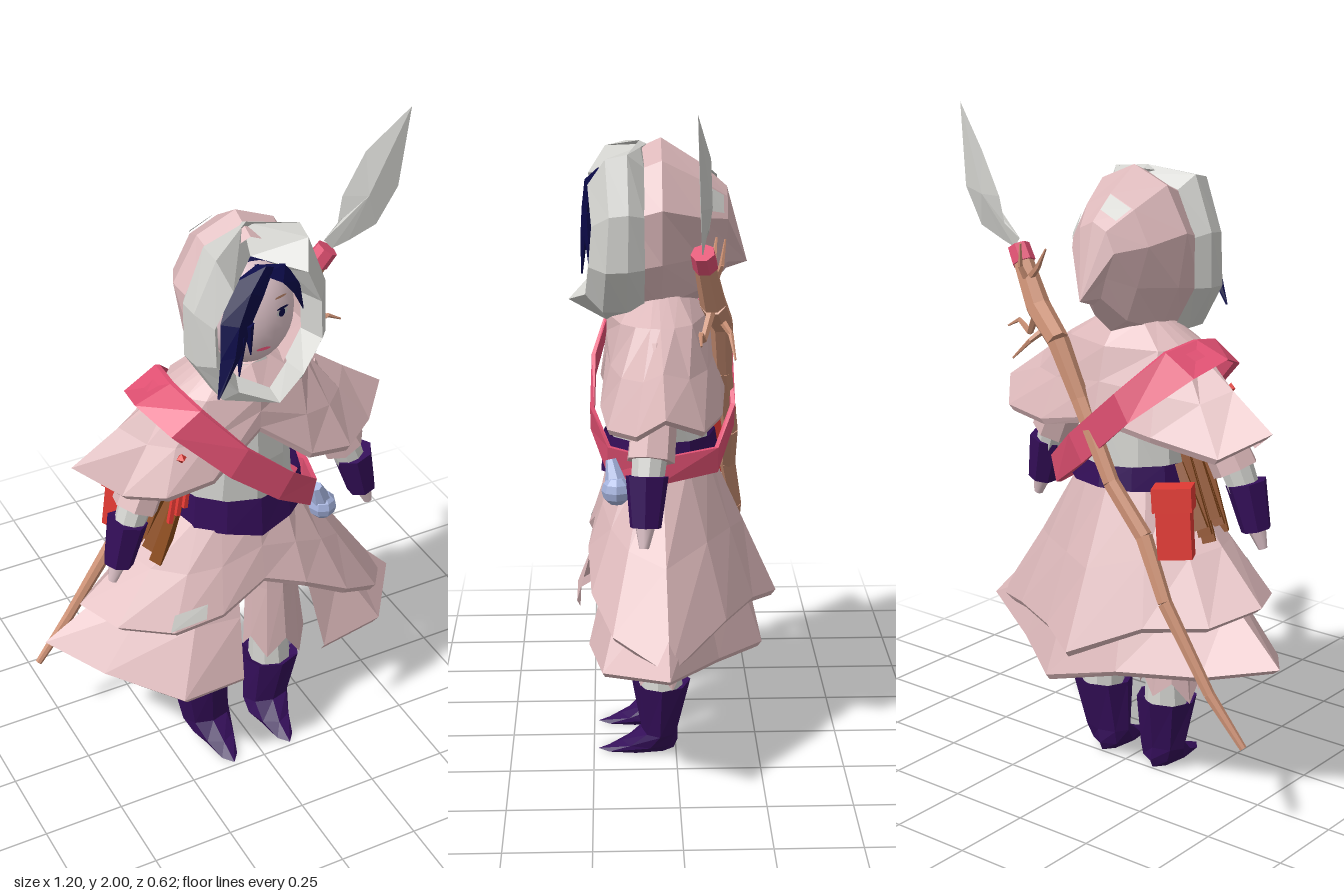
import * as THREE from 'three';

const flat = (name, color) => new THREE.MeshStandardMaterial({ name, color, flatShading: true, side: THREE.DoubleSide });
const V = (p) => new THREE.Vector3(...p);
const lerp = (p, q, t) => p.map((v, i) => v + (q[i] - v) * t);

export function createModel() {
  const model = new THREE.Group();
  model.name = 'hoodedTraveller';
  const M = {
    pink: flat('dustyPinkCloth', 0xdcb8ba), silver: flat('paleFur', 0xd2d2ce), purple: flat('deepPurple', 0x340e59),
    rose: flat('roseSash', 0xe05072), wood: flat('wood', 0xcb9074), navy: flat('navyHair', 0x0b0a48),
    red: flat('redBag', 0xe23a34), brown: flat('brownLeather', 0x8a4a1a), blue: flat('blueGlass', 0xa4b2dc),
    skin: new THREE.MeshStandardMaterial({ name: 'skin', color: 0xe2c6cc }),
  };
  const add = (name, geo, mat, parent = model) => {
    const mesh = new THREE.Mesh(geo, mat);
    mesh.name = name;
    parent.add(mesh);
    return mesh;
  };

  // Skin a surface over successive rows of points
  const loft = (name, mat, rows, closed = true) => {
    const pos = [], n = rows[0].length;
    for (let r = 0; r < rows.length - 1; r++)
      for (let i = 0; i < (closed ? n : n - 1); i++) {
        const j = (i + 1) % n, a = rows[r][i], b = rows[r][j], c = rows[r + 1][i], d = rows[r + 1][j];
        pos.push(...a, ...c, ...b, ...b, ...c, ...d);
      }
    const geo = new THREE.BufferGeometry();
    geo.setAttribute('position', new THREE.Float32BufferAttribute(pos, 3));
    geo.computeVertexNormals();
    add(name, geo, mat);
    return rows;
  };
  // Level ring, starting at the front
  const ring = (cx, y, cz, rx, rz, n = 8) => Array.from({ length: n }, (_, i) => {
    const a = (i / n) * Math.PI * 2;
    return [cx + rx * Math.sin(a), y, cz + rz * Math.cos(a)];
  });
  // Upright ring facing the front, starting at the top; pinch narrows its lower half
  const hoop = (cy, z, rx, ry, pinch = 1) => ring(0, z, cy, rx, ry, 10).map(([x, zz, y]) => [x * (y < cy - 0.01 ? pinch : 1), y, zz]);
  // Tapered rod between two points
  const rod = (name, mat, p, q, r0, r1, sides = 7) => {
    const a = V(p), b = V(q), dir = b.clone().sub(a);
    const mesh = add(name, new THREE.CylinderGeometry(r1, r0, dir.length(), sides), mat);
    mesh.position.copy(a).add(b).multiplyScalar(0.5);
    mesh.quaternion.setFromUnitVectors(new THREE.Vector3(0, 1, 0), dir.normalize());
  };
  // Cloth hanging from an oval ring down to a hem, with a thick edge
  const drape = (name, hem, y, rx, rz, cz, closed = true, collar = null) => {
    const oval = (yy, ax, az) => hem.map(([hx, , hz]) => {
      const a = Math.atan2(hx, hz - cz);
      return [ax * Math.sin(a), yy, cz + az * Math.cos(a)];
    });
    const top = oval(y, rx, rz);
    const mid = top.map((p, i) => lerp(p, hem[i], 0.5));
    const edge = hem.map(([x, hy, z]) => [x * 0.96, hy - 0.018, cz + (z - cz) * 0.96]);
    const rows = [top, mid, hem, edge];
    if (collar) rows.unshift(oval(...collar));
    return loft(name, M.pink, rows, closed);
  };
  // Thin sewn-on patch inside one cell of a lofted cloth
  const patch = (rows, r, i, u0, u1, v0, v1) => {
    const j = (i + 1) % rows[0].length, a = rows[r][i], b = rows[r][j], c = rows[r + 1][i], d = rows[r + 1][j];
    const lift = V(c).sub(V(a)).cross(V(b).sub(V(a))).normalize().multiplyScalar(0.007);
    const at = (u, v) => V(lerp(lerp(a, b, u), lerp(c, d, u), v)).add(lift).toArray();
    loft('patch', M.silver, [[at(u0, v0), at(u1, v0)], [at(u0, v1), at(u1, v1)]], false);
  };

  // Torso, mantle, belt
  loft('shirt', M.silver, [ring(0, 0.9, 0.04, 0.18, 0.14, 10), ring(0, 1.1, 0.05, 0.16, 0.14, 10),
    ring(0, 1.3, 0.05, 0.17, 0.13, 10), ring(0, 1.42, 0.06, 0.09, 0.08, 10)]);
  drape('shoulderCape', [[0, 1.24, 0.2], [0.16, 1.11, 0.22], [0.3, 1.08, 0.2], [0.41, 1.09, 0.12], [0.49, 1.16, 0.04],
    [0.4, 1.1, -0.07], [0.22, 1.1, -0.13], [0, 1.15, -0.15], [-0.2, 1.12, -0.14], [-0.4, 1.08, -0.09], [-0.51, 1.15, 0.02],
    [-0.4, 1.08, 0.12], [-0.3, 1.09, 0.2], [-0.16, 1.12, 0.22]], 1.35, 0.22, 0.15, 0.05, true, [1.42, 0.1, 0.09]);
  const beltTop = ring(0, 1, 0.045, 0.2, 0.165, 12), beltLow = ring(0, 0.95, 0.045, 0.21, 0.175, 12);
  beltTop.forEach((p) => { p[1] = 0.995 + 0.012 * Math.abs(p[0]) / 0.2; });
  beltLow.forEach((p) => { p[1] = p[2] > 0.2 ? 0.865 : p[2] > 0.1 ? 0.89 : 0.93; });
  loft('belt', M.purple, [beltTop, beltLow]);

  // Layered skirt, the lower layer split at the front
  const upper = drape('upperSkirt', [[0, 0.72, 0.24], [0.13, 0.67, 0.26], [0.28, 0.58, 0.25], [0.42, 0.5, 0.19],
    [0.53, 0.43, 0.03], [0.3, 0.5, -0.14], [0.12, 0.5, -0.23], [-0.02, 0.47, -0.31], [-0.22, 0.56, -0.2], [-0.4, 0.58, -0.12],
    [-0.5, 0.63, 0], [-0.44, 0.62, 0.14], [-0.3, 0.62, 0.24], [-0.15, 0.65, 0.26]], 0.93, 0.19, 0.15, 0.045);
  patch(upper, 1, 12, -0.1, 0.65, 0.66, 0.95);
  drape('lowerSkirt', [[0.2, 0.39, 0.26], [0.42, 0.39, 0.22], [0.56, 0.42, 0.03], [0.3, 0.38, -0.12], [0.1, 0.35, -0.26],
    [-0.15, 0.42, -0.24], [-0.4, 0.44, -0.16], [-0.6, 0.48, -0.05], [-0.48, 0.44, 0.12], [-0.3, 0.4, 0.3], [-0.1, 0.41, 0.3]],
  0.8, 0.2, 0.16, 0.045, false);

  // Legs, boots and arms, mirrored
  for (const s of [1, -1]) {
    const side = s > 0 ? 'left' : 'right';
    const cuff = ring(s * 0.14, 0.3, 0.04, 0.1, 0.085, 10);
    cuff.forEach((p, i) => { p[1] = (i % 2 ? 0.27 : 0.34) - 0.02 * (s * p[0] > 0.18); });
    loft(side + 'Trouser', M.pink, [ring(s * 0.115, 0.82, 0.045, 0.085, 0.08, 10), ring(s * 0.125, 0.55, 0.045, 0.08, 0.08, 10), cuff]);
    rod(side + 'BootFur', M.silver, [s * 0.125, 0.2, 0.045], [s * 0.12, 0.33, 0.045], 0.07, 0.06, 9);
    loft(side + 'Boot', M.purple, [ring(s * 0.125, 0.22, 0.045, 0.06, 0.05), ring(s * 0.125, 0.24, 0.045, 0.097, 0.088),
      ring(s * 0.108, 0.075, 0.05, 0.08, 0.055), ring(s * 0.1, 0.03, 0.08, 0.066, 0.085),
      ring(s * 0.1, 0.003, 0.122, 0.038, 0.115), ring(s * 0.1, 0.005, 0.08, 0, 0)]);
    rod(side + 'Sleeve', M.pink, [s * 0.2, 1.29, 0.05], [s * 0.345, 1.0, 0.08], 0.06, 0.07);
    rod(side + 'WristFur', M.silver, [s * 0.335, 1.03, 0.08], [s * 0.375, 0.93, 0.09], 0.052, 0.045, 9);
    rod(side + 'Gauntlet', M.purple, [s * 0.375, 0.965, 0.09], [s * 0.41, 0.825, 0.095], 0.062, 0.045);
    rod(side + 'Hand', M.skin, [s * 0.405, 0.85, 0.095], [s * 0.432, 0.77, 0.1], 0.034, 0.014);
  }

  // Hood tapering to a point behind, and fur trim around the face
  const hood = loft('hood', M.pink, [hoop(1.5, -0.21, 0, 0), hoop(1.6, -0.15, 0.08, 0.12, 0.6), hoop(1.59, -0.07, 0.145, 0.2, 0.7),
    hoop(1.6, 0.04, 0.2, 0.26, 0.85), hoop(1.58, 0.13, 0.18, 0.24)]);
  patch(hood, 1, 9, 0.05, 0.95, 0.4, 0.95);
  patch(hood, 1, 1, 0.1, 0.8, 0.2, 0.75);
  const front = [0.13, 0.25, 0.24, 0.25, 0.26, 0.31, 0.26, 0.25, 0.24, 0.25];
  const furRow = (cy, rx, ry, zOf, swell) => hoop(cy, 0, rx, ry).map(([x, y], i) => {
    const k = i === 1 || i === 9 ? swell : 1;
    return [x * k, cy + (y - cy) * k, zOf(front[i], i)];
  });
  loft('hoodFur', M.silver, [furRow(1.585, 0.19, 0.24, () => 0.09, 1.06),
    furRow(1.59, 0.218, 0.262, (z) => 0.09 + (z - 0.09) * 0.3, 1.14),
    furRow(1.585, 0.212, 0.257, (z, i) => z - (i === 5 ? 0.11 : 0.05), 1.12),
    furRow(1.575, 0.172, 0.185, (z) => z, 1.12), furRow(1.585, 0.135, 0.18, (z) => Math.max(0.12, z - 0.06), 1)]);

  // Head and face
  const head = add('head', new THREE.SphereGeometry(1, 24, 16), M.skin);
  head.scale.set(0.128, 0.155, 0.085);
  head.position.set(0, 1.59, 0.135);
  const onFace = (name, mat, x, y, w, h, lift) => {
    const u = x / 0.128, v = (y - 1.59) / 0.155;
    const plate = add(name, new THREE.CircleGeometry(1, 12), mat);
    plate.scale.set(w, h, 1);
    plate.position.set(x, y, 0.135 + 0.085 * Math.sqrt(1 - u * u - v * v) + lift);
    plate.rotation.y = Math.atan(u * 0.7);
  };
  for (const s of [1, -1]) {
    onFace('eyeWhite', M.silver, s * 0.055, 1.615, 0.021, 0.013, 0.004);
    onFace('iris', s > 0 ? M.navy : M.brown, s * 0.053, 1.615, 0.012, 0.013, 0.006);
    onFace('eyeLash', M.navy, s * 0.056, 1.629, 0.023, 0.004, 0.007);
    onFace('eyebrow', M.wood, s * 0.053, 1.66, 0.022, 0.004, 0.005);
  }
  onFace('mouth', M.rose, 0, 1.51, 0.022, 0.005, 0.004);

  // Hair parted at the top, long on the right
  loft('longFringe', M.navy, [[[-0.01, 1.77, 0.19], [-0.1, 1.74, 0.21], [-0.145, 1.64, 0.235], [-0.155, 1.54, 0.255], [-0.172, 1.43, 0.27]],
    [[0, 1.775, 0.22], [-0.065, 1.73, 0.26], [-0.105, 1.64, 0.27], [-0.12, 1.55, 0.275], [-0.168, 1.43, 0.275]],
    [[0.03, 1.76, 0.21], [-0.02, 1.7, 0.245], [-0.06, 1.63, 0.255], [-0.085, 1.56, 0.26], [-0.165, 1.43, 0.27]]], false);
  loft('shortFringe', M.navy, [[[-0.02, 1.77, 0.19], [0.07, 1.755, 0.2], [0.115, 1.69, 0.2], [0.13, 1.6, 0.2]],
    [[-0.01, 1.75, 0.22], [0.045, 1.72, 0.235], [0.085, 1.67, 0.225], [0.125, 1.6, 0.205]]], false);
  for (const [x, y, tipX, tipY] of [[-0.09, 1.6, -0.095, 1.47], [-0.07, 1.63, -0.06, 1.53], [-0.12, 1.58, -0.125, 1.47]])
    rod('hairLock', M.navy, [x, y, 0.25], [tipX, tipY, 0.25], 0.018, 0.002, 5);
  const cap = add('hairCap', new THREE.SphereGeometry(1, 14, 8, 0, Math.PI * 2, 0, Math.PI * 0.4), M.navy);
  cap.scale.set(0.135, 0.165, 0.13);
  cap.position.set(0, 1.6, 0.085);
  cap.rotation.x = -0.25;

  // Sash across the chest and back: centre, then half width
  const sash = [[-0.27, 1.35, 0.06, 0.055, 0.02], [-0.23, 1.315, 0.19, 0.045, 0.03], [-0.09, 1.17, 0.245, 0.028, 0.04],
    [0.06, 1.045, 0.25, 0.025, 0.04], [0.18, 0.95, 0.2, 0.01, 0.045], [0.235, 0.93, 0.06, 0, 0.04], [0.18, 0.95, -0.12, 0.01, 0.04],
    [0.05, 1.05, -0.175, 0.025, 0.04], [-0.12, 1.2, -0.175, 0.025, 0.04], [-0.25, 1.325, -0.07, 0.05, 0.03]];
  const sashRow = (k, inset) => sash.map(([x, y, z, wx, wy]) => [(x + k * wx) * inset, y + k * wy, 0.05 + (z - 0.05) * inset]);
  loft('sash', M.rose, [sashRow(1, 1), sashRow(-1, 1), sashRow(-1, 0.94), sashRow(1, 0.94), sashRow(1, 1)]);

  // Gnarled spear carried on the back
  const shaft = [[-0.575, 0.28, -0.19, 0.011], [-0.46, 0.42, -0.2, 0.017], [-0.3, 0.66, -0.2, 0.022], [-0.2, 0.83, -0.17, 0.026],
    [-0.08, 0.97, -0.17, 0.025], [0.06, 1.19, -0.14, 0.028], [0.15, 1.35, -0.13, 0.034], [0.25, 1.43, -0.1, 0.038], [0.34, 1.57, -0.07, 0.03]];
  const twigs = [[[0.25, 1.43, -0.1, 0.014], [0.31, 1.34, -0.07, 0.01], [0.36, 1.37, -0.06, 0.007], [0.405, 1.345, -0.06, 0.003]],
    [[0.3, 1.5, -0.09, 0.014], [0.25, 1.55, -0.1, 0.009], [0.21, 1.61, -0.11, 0.003]],
    [[0.2, 1.38, -0.12, 0.012], [0.24, 1.34, -0.15, 0.008], [0.3, 1.28, -0.16, 0.003]],
    [[0.28, 1.47, -0.09, 0.012], [0.3, 1.55, -0.12, 0.008], [0.29, 1.62, -0.13, 0.003]]];
  [shaft, ...twigs].forEach((path, k) => path.slice(1).forEach((q, i) => {
    const p = path[i];
    rod(k ? 'twig' : 'spearShaft', M.wood, p.slice(0, 3), q.slice(0, 3), p[3], q[3], k ? 5 : 7);
  }));
  rod('spearBinding', M.rose, [0.325, 1.55, -0.075], [0.355, 1.595, -0.065], 0.036, 0.034);
  const blade = [[0.37, 1.59, -0.065], [0.345, 1.62, -0.07], [0.395, 1.66, -0.08], [0.41, 1.74, -0.085], [0.48, 1.87, -0.08],
    [0.6, 2, -0.04], [0.575, 1.75, -0.05], [0.51, 1.64, -0.055], [0.42, 1.605, -0.06]];
  loft('spearBlade', M.silver, [blade.map(() => [0.48, 1.74, -0.052]), blade, blade.map(() => [0.48, 1.74, -0.085])]);

  // Hip gear: flask, leather bundle with red tassels, bag and a cape bead
  add('flask', new THREE.SphereGeometry(0.044, 8, 6), M.blue).position.set(0.225, 0.875, 0.175);
  rod('flaskNeck', M.blue, [0.22, 0.89, 0.175], [0.195, 0.96, 0.19], 0.034, 0.016);
  for (let i = 0; i < 6; i++) {
    const z = 0.11 - i * 0.032;
    rod('leatherStrip', M.brown, [-0.195 - i * 0.008, 1.07 - (i % 2) * 0.04, z], [-0.285 - i * 0.008, 0.79 + (i % 3) * 0.03, z - 0.01], 0.016, 0.028, 4);
  }
  for (let i = 0; i < 3; i++)
    rod('redTassel', M.red, [-0.185 - i * 0.022, 1.12 - i * 0.01, 0.125], [-0.215 - i * 0.024, 0.99 - i * 0.02, 0.14], 0.007, 0.01, 4);
  add('capeBead', new THREE.OctahedronGeometry(0.016), M.red).position.set(-0.245, 1.205, 0.19);
  const bag = new THREE.Group();
  bag.name = 'redBag';
  bag.position.set(-0.285, 0.885, -0.135);
  bag.rotation.set(0.1, 0.5, -0.12);
  add('bagBody', new THREE.BoxGeometry(0.1, 0.21, 0.07), M.red, bag);
  add('bagFlap', new THREE.BoxGeometry(0.115, 0.07, 0.09), M.red, bag).position.y = 0.07;
  model.add(bag);

  return model;
}
